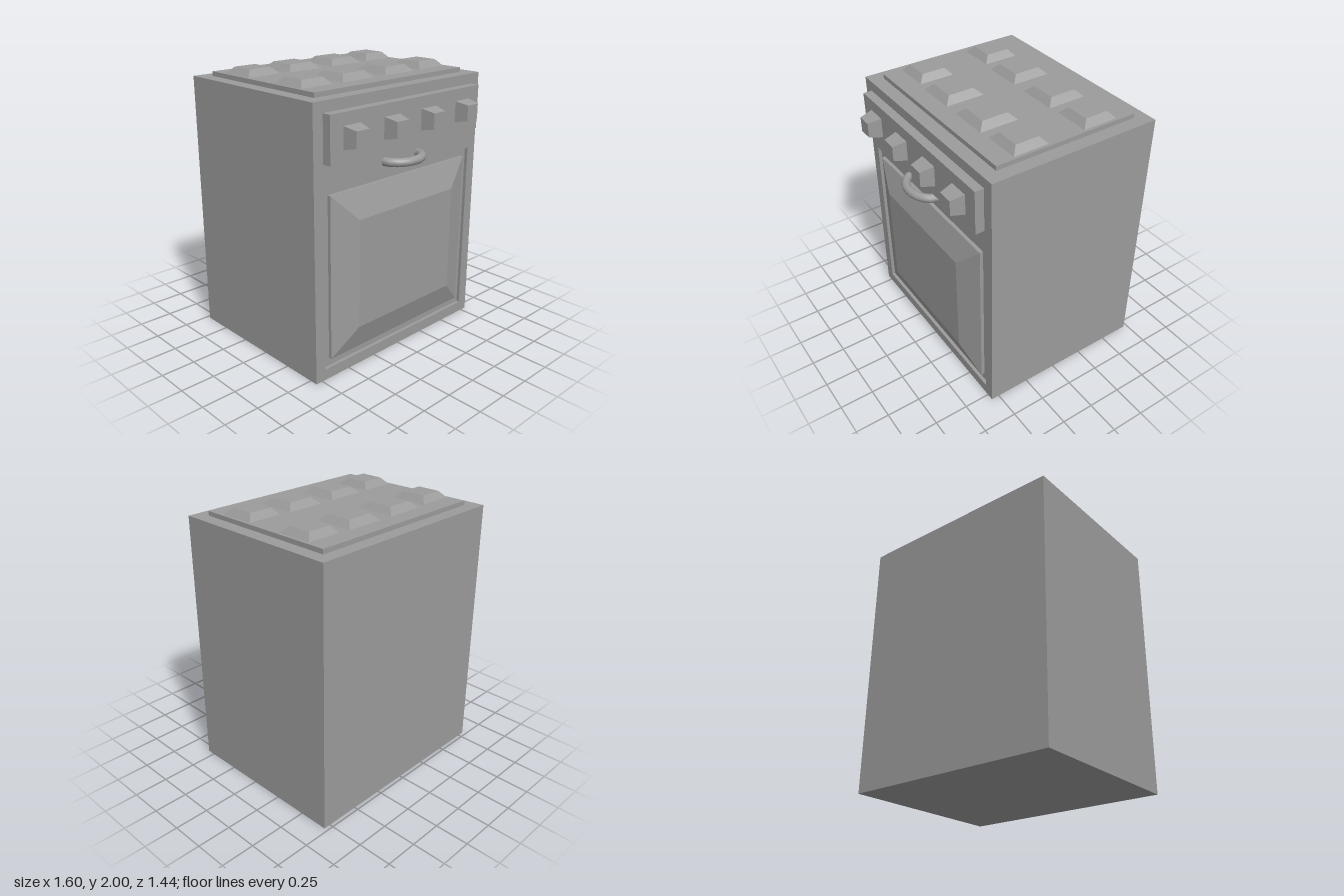
import * as THREE from 'three';

const grey = new THREE.MeshStandardMaterial({ color: 0x9b9b9b });

function add(parent, name, geometry, x = 0, y = 0, z = 0) {
  const mesh = new THREE.Mesh(geometry, grey);
  mesh.name = name;
  mesh.position.set(x, y, z);
  parent.add(mesh);
  return mesh;
}

// Truncated pyramid standing on z = 0 and narrowing towards +z
function frustum(width, height, depth, topWidth, topHeight) {
  const g = new THREE.BoxGeometry(width, height, depth).translate(0, 0, depth / 2);
  const p = g.attributes.position;
  for (let i = 0; i < p.count; i++) {
    if (p.getZ(i) > depth / 2) {
      p.setX(i, Math.sign(p.getX(i)) * topWidth / 2);
      p.setY(i, Math.sign(p.getY(i)) * topHeight / 2);
    }
  }
  g.computeVertexNormals();
  return g;
}

function rectangle(path, x0, y0, x1, y1) {
  path.moveTo(x0, y0);
  path.lineTo(x1, y0);
  path.lineTo(x1, y1);
  path.lineTo(x0, y1);
  path.closePath();
  return path;
}

export function createModel() {
  const stove = new THREE.Group();
  stove.name = 'stove';
  const front = 0.56, recess = 0.025, floor = front - recess;

  // Cabinet, with a front frame that leaves a shallow door recess
  const depth = floor + 0.722;
  add(stove, 'cabinet', new THREE.BoxGeometry(1.604, 1.92, depth), 0, 0.96, floor - depth / 2);
  const frame = rectangle(new THREE.Shape(), -0.802, 0, 0.802, 1.92);
  frame.holes.push(rectangle(new THREE.Path(), -0.722, 0.08, 0.722, 1.365));
  add(stove, 'frontFrame',
    new THREE.ExtrudeGeometry(frame, { depth: recess, bevelEnabled: false }), 0, 0, floor);

  // Oven door with a raised, bevelled panel
  const door = new THREE.Group();
  door.name = 'ovenDoor';
  door.position.set(0, 0.723, floor);
  stove.add(door);
  add(door, 'doorSlab', new THREE.BoxGeometry(1.332, 1.168, recess), 0, 0, recess / 2);
  add(door, 'doorPanel', frustum(1.332, 1.168, 0.064, 0.936, 0.78), 0, 0, recess);

  // Door handle: bowed bar with its ends sunk into the front
  const bow = [
    [-0.167, 0.52], [-0.152, 0.605], [-0.072, 0.666], [0, 0.677],
    [0.072, 0.666], [0.152, 0.605], [0.167, 0.52],
  ].map(([x, z]) => new THREE.Vector3(x, 0, z));
  add(stove, 'handle',
    new THREE.TubeGeometry(new THREE.CatmullRomCurve3(bow), 12, 0.031, 12), -0.012, 1.435, 0);

  // Control panel and knobs
  add(stove, 'controlPanel', new THREE.BoxGeometry(1.444, 0.32, 0.065), 0, 1.685, front + 0.0325);
  for (const x of [-0.54, -0.18, 0.18, 0.54]) {
    add(stove, 'knob', frustum(0.148, 0.15, 0.097, 0.11, 0.11), x, 1.685, 0.625);
  }

  // Cooktop plate and two rows of burners
  add(stove, 'cooktop', new THREE.BoxGeometry(1.41, 0.033, 1.088), 0, 1.9365, -0.081);
  for (const z of [-0.354, 0.19]) {
    for (const [x, base, top] of [
      [-0.555, 0.262, 0.174], [-0.2, 0.29, 0.192], [0.2, 0.29, 0.192], [0.552, 0.262, 0.174],
    ]) {
      add(stove, 'burner', frustum(base, base, 0.047, top, top).rotateX(-Math.PI / 2), x, 1.953, z);
    }
  }
  return stove;
}
